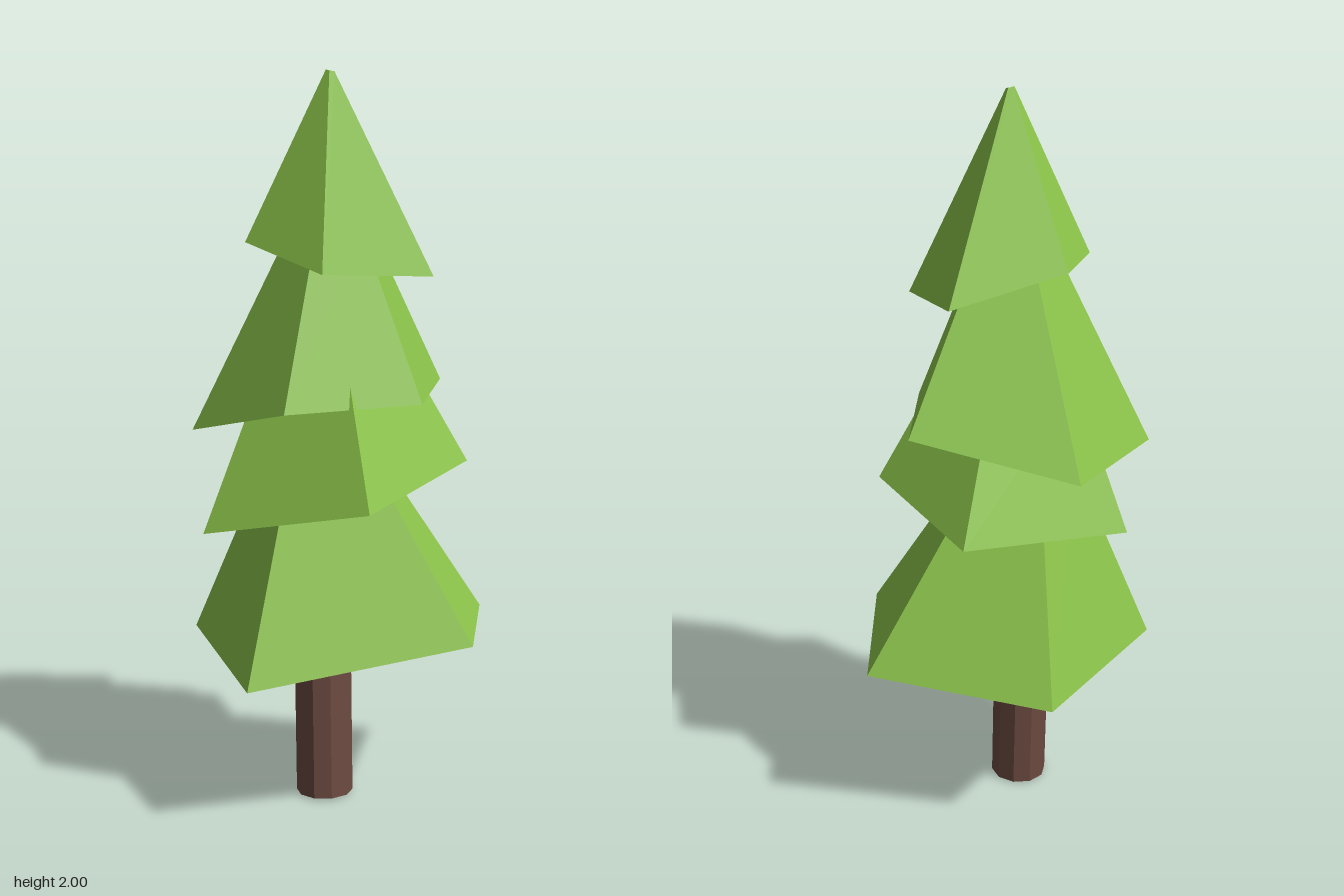
import * as THREE from 'three';

const leaf = new THREE.MeshStandardMaterial({ color: 0x8bc34a, flatShading: true });
const bark = new THREE.MeshStandardMaterial({ color: 0x6d4c41, flatShading: true });

// Five-sided tier: rim corners taper towards a tip and are cut off at fraction "cut"
function tier(name, rim, tip, cut) {
  const low = rim.map((p) => new THREE.Vector3(...p));
  const apex = new THREE.Vector3(...tip);
  const high = low.map((p) => p.clone().lerp(apex, cut));
  const middle = (ring) => ring.reduce((s, p) => s.add(p), new THREE.Vector3()).divideScalar(ring.length);
  const base = middle(low), cap = middle(high);
  const corners = [];
  low.forEach((a, i) => {
    const j = (i + 1) % low.length;
    corners.push(a, high[i], low[j], low[j], high[i], high[j]); // side
    corners.push(base, a, low[j], cap, high[j], high[i]); // underside and cap
  });
  const geometry = new THREE.BufferGeometry().setFromPoints(corners);
  geometry.computeVertexNormals();
  const mesh = new THREE.Mesh(geometry, leaf);
  mesh.name = name;
  return mesh;
}

export function createModel() {
  const tree = new THREE.Group();
  tree.name = 'tree';

  // Slightly leaning trunk
  const trunk = new THREE.Mesh(new THREE.CylinderGeometry(0.08, 0.08, 0.395, 10), bark);
  trunk.name = 'trunk';
  trunk.position.set(-0.077, 0.202, -0.007);
  trunk.rotation.x = -0.04;
  tree.add(trunk);

  // Uneven, tilted foliage tiers from bottom to top
  tree.add(
    tier('bottomFoliage', [
      [0.43, 0.483, -0.104], [0.243, 0.504, 0.335], [-0.354, 0.414, 0.28],
      [-0.414, 0.472, -0.161], [0.006, 0.414, -0.38],
    ], [-0.098, 1.257, -0.05], 0.68),
    tier('lowerFoliage', [
      [0.224, 0.886, -0.293], [0.3, 0.965, 0.118], [-0.062, 0.89, 0.402],
      [-0.432, 0.8, 0.104], [-0.24, 0.87, -0.322],
    ], [-0.077, 1.65, 0], 0.48),
    tier('upperFoliage', [
      [0.319, 1.16, -0.166], [0.12, 1.145, 0.264], [-0.247, 1.13, 0.261],
      [-0.421, 1.045, -0.118], [-0.051, 1.06, -0.407],
    ], [-0.055, 1.82, 0.01], 0.66),
    tier('topFoliage', [
      [0.208, 1.485, -0.176], [0.187, 1.47, 0.15], [-0.139, 1.48, 0.234],
      [-0.294, 1.56, 0.021], [-0.086, 1.57, -0.252],
    ], [-0.074, 2.023, 0.065], 0.955),
  );
  return tree;
}
